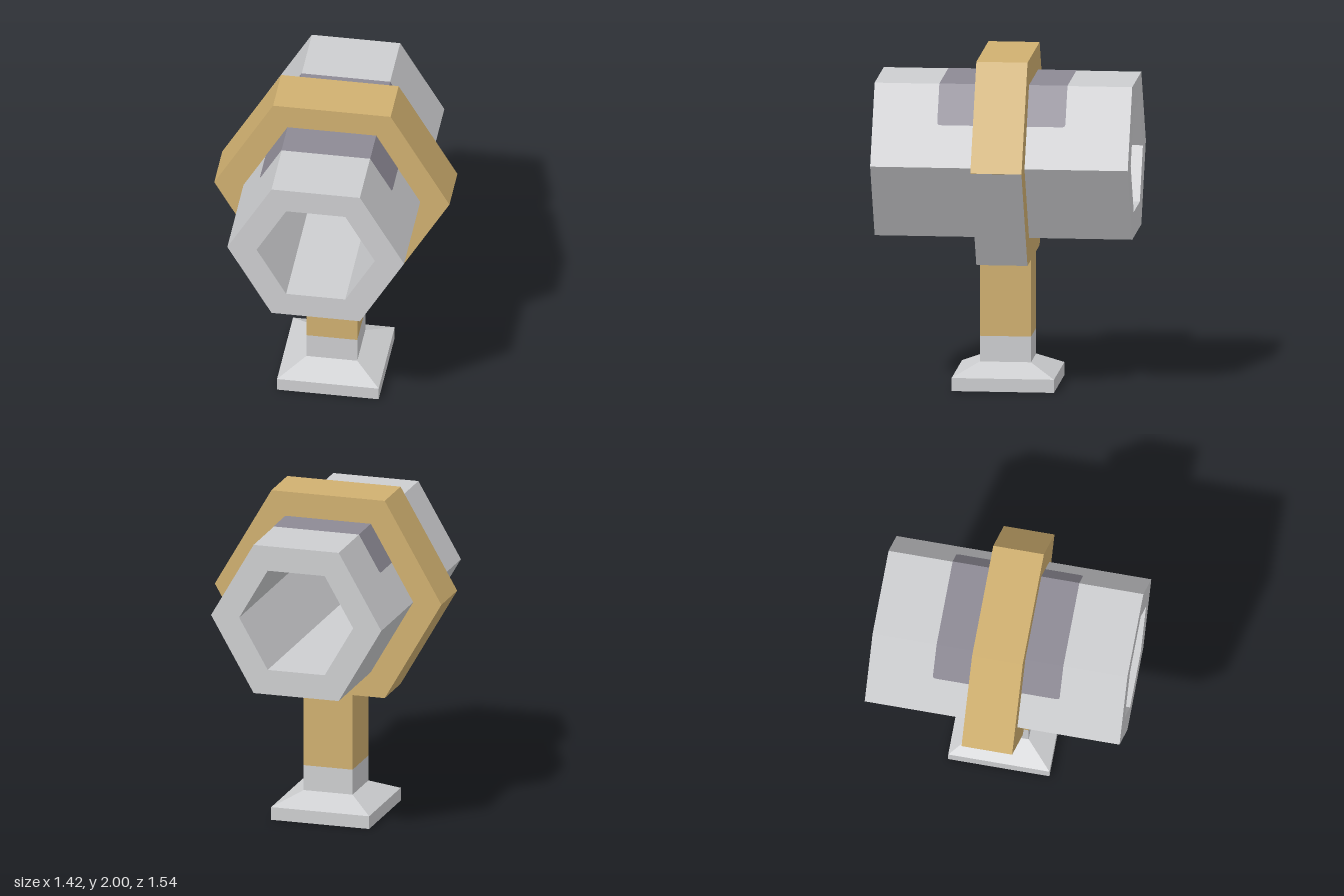
import * as THREE from 'three';

const CY = 1.387;          // height of the tube axis
const APOTHEM = Math.sqrt(3) / 2;
const R_RING = 0.708, R_TUBE = 0.532, R_BORE = 0.356;
const W = 0.306;           // ring and stem thickness
const LIFT = 0.002;        // offset of painted faces

function material(name, color) {
  const m = new THREE.MeshStandardMaterial({ color });
  m.name = name;
  return m;
}

// Hexagon points with corners on the x axis
function hexagon(r) {
  return Array.from({ length: 6 }, (_, i) => {
    const a = (i * Math.PI) / 3;
    return new THREE.Vector2(r * Math.cos(a), r * Math.sin(a));
  });
}

// Hexagonal pipe along z, centred on the origin
function hexPipe(outer, inner, depth) {
  const shape = new THREE.Shape(hexagon(outer));
  shape.holes.push(new THREE.Path(hexagon(inner).reverse()));
  return new THREE.ExtrudeGeometry(shape, { depth, bevelEnabled: false }).translate(0, 0, -depth / 2);
}

// Panel running along +x from the origin, facing up, rounded at its far corners
function sidePanel(length, halfDepth, r) {
  const s = new THREE.Shape();
  s.moveTo(0, -halfDepth);
  s.lineTo(length - r, -halfDepth);
  s.quadraticCurveTo(length, -halfDepth, length, -halfDepth + r);
  s.lineTo(length, halfDepth - r);
  s.quadraticCurveTo(length, halfDepth, length - r, halfDepth);
  s.lineTo(0, halfDepth);
  s.closePath();
  return new THREE.ShapeGeometry(s, 4).rotateX(-Math.PI / 2);
}

export function createModel() {
  const model = new THREE.Group();
  const grey = material('light grey', 0xcdced0);
  const ochre = material('ochre', 0xd0b070);
  const purple = material('purple grey', 0x8d8a95);

  function add(name, geometry, mat, y = 0, parent = model) {
    const mesh = new THREE.Mesh(geometry, mat);
    mesh.name = name;
    mesh.position.y = y;
    parent.add(mesh);
    return mesh;
  }

  // Open tube and the collar around it
  add('tube', hexPipe(R_TUBE, R_BORE, 1.54), grey, CY);
  add('collar', hexPipe(R_RING, R_TUBE, W), ochre, CY);

  // Grey lower face on the collar's left side
  const facet = new THREE.PlaneGeometry(W, R_RING)
    .rotateY(Math.PI / 2)
    .translate(R_RING * APOTHEM + LIFT, 0, 0)
    .rotateZ(-Math.PI / 6);
  add('collarLowerFace', facet, grey, CY);

  // Saddle patch over the top of the tube and halfway down both upper sides
  const top = R_TUBE * APOTHEM + LIFT;
  const half = top / Math.sqrt(3);
  const saddle = new THREE.Group();
  saddle.name = 'saddle';
  saddle.position.y = CY;
  model.add(saddle);
  add('saddleTop', new THREE.PlaneGeometry(half * 2, 0.766).rotateX(-Math.PI / 2), purple, top, saddle);
  for (const turn of [0, Math.PI]) {
    const side = new THREE.Group();
    side.name = turn ? 'saddleRight' : 'saddleLeft';
    side.rotation.y = turn;
    saddle.add(side);
    const panel = add('saddleSide', sidePanel(0.264, 0.383, 0.02), purple, top, side);
    panel.position.x = half;
    panel.rotation.z = -Math.PI / 3;
  }

  // Square stem, ochre above and grey below
  add('stem', new THREE.BoxGeometry(W, 0.464, W), ochre, 0.542);
  add('stemFoot', new THREE.BoxGeometry(W, 0.155, W), grey, 0.2325);

  // Base slab with a sloped top
  add('baseSlab', new THREE.BoxGeometry(W * 2, 0.079, W * 2), grey, 0.0395);
  const slope = new THREE.CylinderGeometry(W / Math.SQRT2, W * Math.SQRT2, 0.076, 4, 1, true, Math.PI / 4)
    .toNonIndexed();
  slope.computeVertexNormals();
  add('baseSlope', slope, grey, 0.117);

  return model;
}
